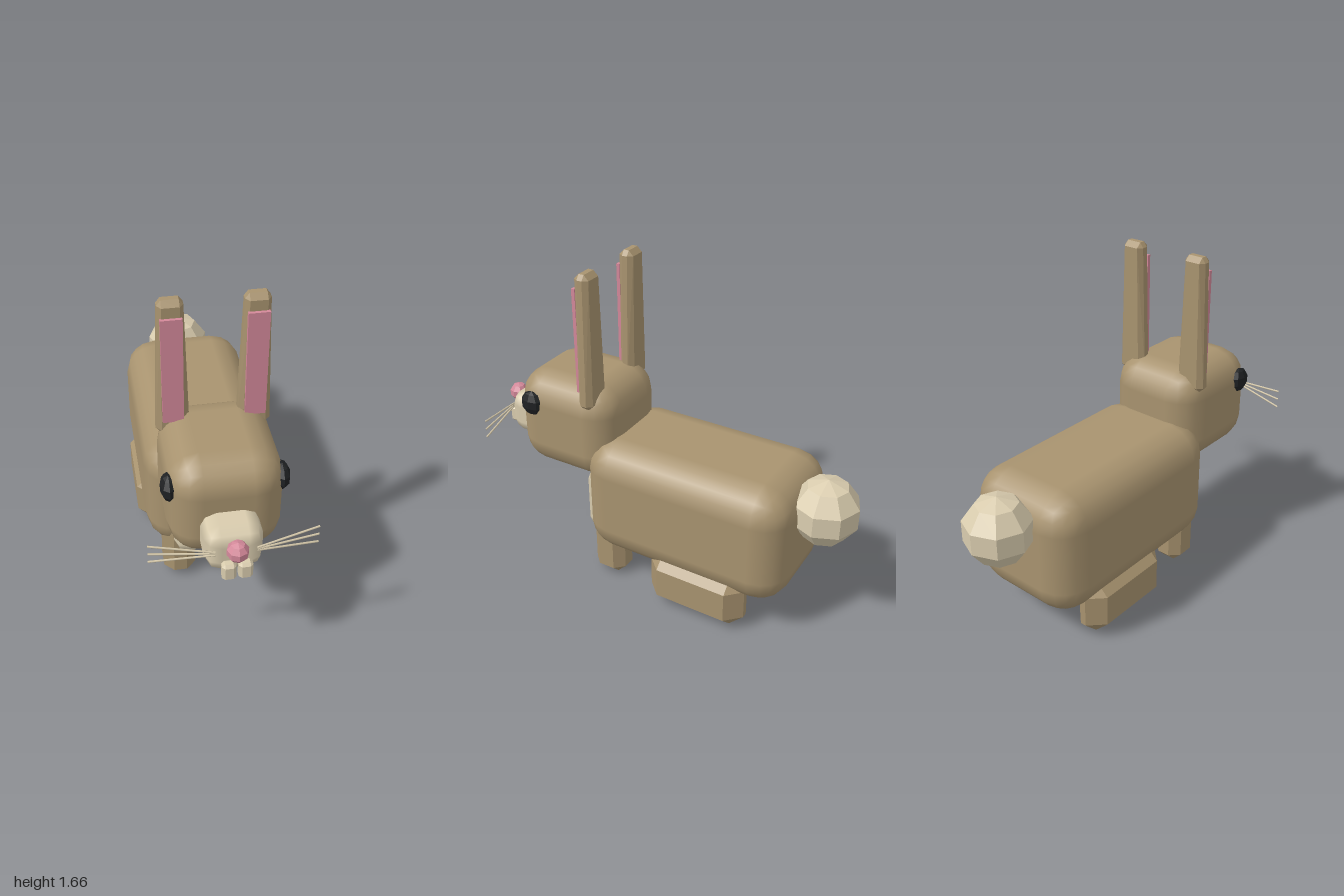
import * as THREE from 'three';
import { RoundedBoxGeometry } from 'three/addons/geometries/RoundedBoxGeometry.js';
import { ConvexGeometry } from 'three/addons/geometries/ConvexGeometry.js';

function material(name, color, flatShading) {
  const m = new THREE.MeshStandardMaterial({ color, flatShading });
  m.name = name;
  return m;
}

// Box with every edge cut by c; the top is scaled in x by taper
function chamferBox(w, h, d, c, taper = 1) {
  const points = [];
  for (const sx of [-1, 1]) for (const sy of [-1, 1]) for (const sz of [-1, 1]) {
    for (let axis = 0; axis < 3; axis++) {
      const cut = [c, c, c];
      cut[axis] = 0;
      const y = sy * (h / 2 - cut[1]);
      const k = THREE.MathUtils.lerp(1, taper, y / h + 0.5);
      points.push(new THREE.Vector3(sx * (w / 2 - cut[0]) * k, y, sz * (d / 2 - cut[2])));
    }
  }
  return new ConvexGeometry(points);
}

// Faceted ball with eight sides
const ball = (r) => new THREE.SphereGeometry(r, 8, 5);

export function createModel() {
  const model = new THREE.Group();
  model.name = 'rabbit';
  const fur = material('brown fur', 0xa8936f, false);
  const cream = material('cream fur', 0xd9ccae, false);
  const pink = material('pink skin', 0xd4899a, true);
  const black = material('black eye', 0x1f2123, true);

  // Flat-shaded versions of the same colours
  const furFlat = fur.clone();
  furFlat.flatShading = true;
  const creamFlat = cream.clone();
  creamFlat.flatShading = true;

  function add(name, geometry, mat, x, y, z) {
    const mesh = new THREE.Mesh(geometry, mat);
    mesh.name = name;
    mesh.position.set(x, y, z);
    model.add(mesh);
    return mesh;
  }

  // Trunk and head
  add('body', new RoundedBoxGeometry(0.63, 0.63, 1.105, 2, 0.16), fur, 0, 0.505, -0.2025);
  add('head', new RoundedBoxGeometry(0.52, 0.52, 0.575, 2, 0.15), fur, 0, 0.82, 0.4875);
  add('chest', new RoundedBoxGeometry(0.385, 0.36, 0.14, 1, 0.06), cream, 0, 0.4, 0.335);
  add('tail', ball(0.17), creamFlat, 0, 0.665, -0.84);

  // Face
  add('muzzle', new RoundedBoxGeometry(0.26, 0.23, 0.24, 1, 0.07), cream, 0, 0.745, 0.8);
  add('nose', ball(0.05), pink, 0, 0.8, 0.95);

  for (const [side, s] of [['left', 1], ['right', -1]]) {
    add(`${side} eye`, ball(0.065), black, s * 0.248, 0.93, 0.655).scale.x = 0.6;
    add(`${side} tooth`, chamferBox(0.062, 0.09, 0.05, 0.013), creamFlat, s * 0.036, 0.69, 0.948);

    // Ear with its lining
    add(`${side} ear`, chamferBox(0.155, 0.685, 0.078, 0.025, 0.72), furFlat, s * 0.185, 1.3225, 0.328);
    add(`${side} inner ear`, new THREE.BoxGeometry(0.095, 0.53, 0.018), pink, s * 0.185, 1.325, 0.373);

    // Legs
    add(`${side} front leg`, chamferBox(0.16, 0.35, 0.18, 0.047), furFlat, s * 0.16, 0.175, 0.25);
    add(`${side} hind foot`, chamferBox(0.18, 0.31, 0.525, 0.075), furFlat, s * 0.24, 0.155, -0.304);

    // Whiskers fan out from the muzzle
    for (const rise of [-1, 0, 1]) {
      const start = new THREE.Vector3(s * 0.09, 0.768 + rise * 0.008, 0.92);
      const end = new THREE.Vector3(s * 0.37, 0.768 + rise * 0.046, 0.877);
      const path = new THREE.LineCurve3(start, end);
      add(`${side} whisker`, new THREE.TubeGeometry(path, 1, 0.005, 5), cream, 0, 0, 0);
    }
  }
  return model;
}
